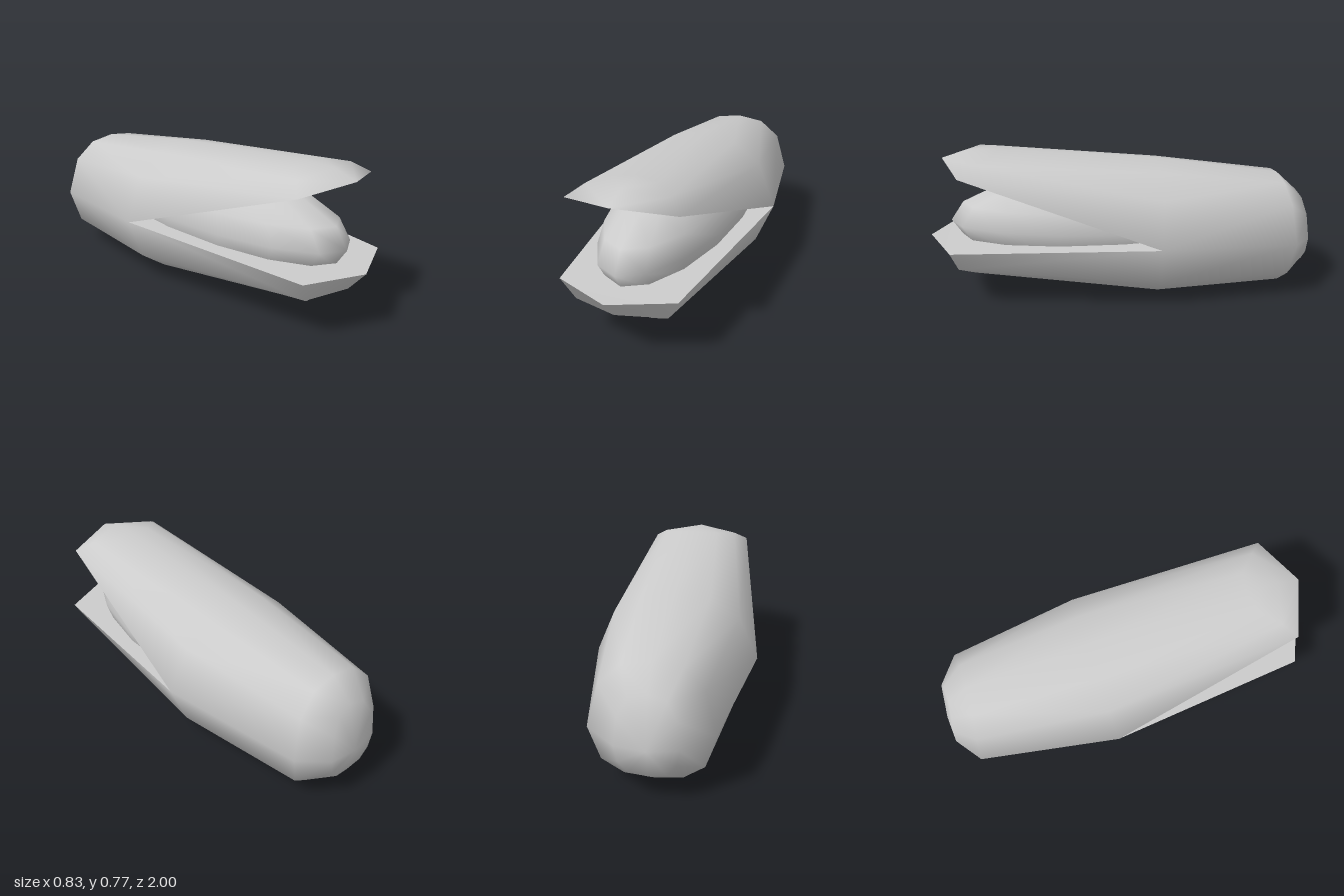
import * as THREE from 'three';
import { mergeVertices } from 'three/addons/utils/BufferGeometryUtils.js';

// Joins rows of [x, y, z] points into quads on the left half and mirrors them.
function addLoft(out, rows) {
  const tri = (a, b, c) => {
    out.push(...a, ...b, ...c);
    for (const [x, y, z] of [a, c, b]) out.push(-x, y, z);
  };
  for (let r = 0; r < rows.length - 1; r++) {
    for (let k = 0; k < rows[r].length - 1; k++) {
      const a = rows[r][k], b = rows[r + 1][k];
      const c = rows[r + 1][k + 1], d = rows[r][k + 1];
      tri(a, b, c);
      tri(a, c, d);
    }
  }
}

function loftMesh(name, lofts, material) {
  const points = [];
  lofts.forEach((rows) => addLoft(points, rows));
  let geometry = new THREE.BufferGeometry();
  geometry.setAttribute('position', new THREE.Float32BufferAttribute(points, 3));
  geometry = mergeVertices(geometry, 1e-4);
  geometry.computeVertexNormals();
  const mesh = new THREE.Mesh(geometry, material);
  mesh.name = name;
  return mesh;
}

export function createModel() {
  const group = new THREE.Group();
  group.name = 'splitPod';
  const shellMaterial = new THREE.MeshStandardMaterial({ color: 0xcccccc, side: THREE.DoubleSide });
  const seedMaterial = new THREE.MeshStandardMaterial({ color: 0xcccccc });

  // Half rings, each from top centre round the left side to bottom centre
  const pole = Array.from({ length: 7 }, () => [0, 0.28, -1]);
  const endRing = [
    [0, 0.52, -0.94], [0.085, 0.5, -0.95], [0.13, 0.42, -0.97], [0.145, 0.29, -0.985],
    [0.13, 0.21, -0.98], [0.085, 0.155, -0.975], [0, 0.14, -0.97],
  ];
  const rearRing = [
    [0, 0.62, -0.83], [0.135, 0.6, -0.835], [0.235, 0.51, -0.855], [0.285, 0.31, -0.88],
    [0.235, 0.135, -0.855], [0.135, 0.057, -0.835], [0, 0.04, -0.83],
  ];
  const middleRing = [
    [0, 0.708, -0.21], [0.172, 0.675, -0.2], [0.318, 0.575, -0.19], [0.413, 0.355, -0.17],
    [0.318, 0.135, -0.18], [0.172, 0.035, -0.18], [0, 0, -0.18],
  ];

  // Upper jaw of the pod, rising to a pointed lip
  const upperFront = [[0, 0.775, 0.63], [0.11, 0.767, 0.65], [0.205, 0.748, 0.74], [0.275, 0.698, 0.81]];
  const upperLip = [[0, 0.775, 0.63], [0, 0.775, 0.7], [0, 0.773, 0.8], [0, 0.735, 0.915]];

  // Lower jaw of the pod
  const lowerFront = [[0.29, 0.32, 0.87], [0.23, 0.212, 0.84], [0.12, 0.145, 0.77], [0, 0.145, 0.76]];
  const lowerLip = [[0, 0.32, 1], [0, 0.217, 0.91], [0, 0.145, 0.76], [0, 0.145, 0.76]];

  group.add(loftMesh('podShell', [
    [pole, endRing, rearRing, middleRing],
    [middleRing.slice(0, 4), upperFront, upperLip],
    [middleRing.slice(3), lowerFront, lowerLip],
  ], shellMaterial));

  // Flat face filling the lower jaw
  group.add(loftMesh('lowerBed', [[
    [[0.413, 0.355, -0.17], [0, 0.355, -0.17]],
    [[0.29, 0.32, 0.87], [0, 0.32, 0.87]],
    [[0, 0.32, 1], [0, 0.32, 1]],
  ]], shellMaterial));

  // Seed resting inside the opening
  const seed = new THREE.Mesh(new THREE.SphereGeometry(1, 16, 8), seedMaterial);
  seed.name = 'seed';
  seed.scale.set(0.31, 0.26, 0.88);
  seed.position.set(0, 0.4, 0.01);
  group.add(seed);

  return group;
}
